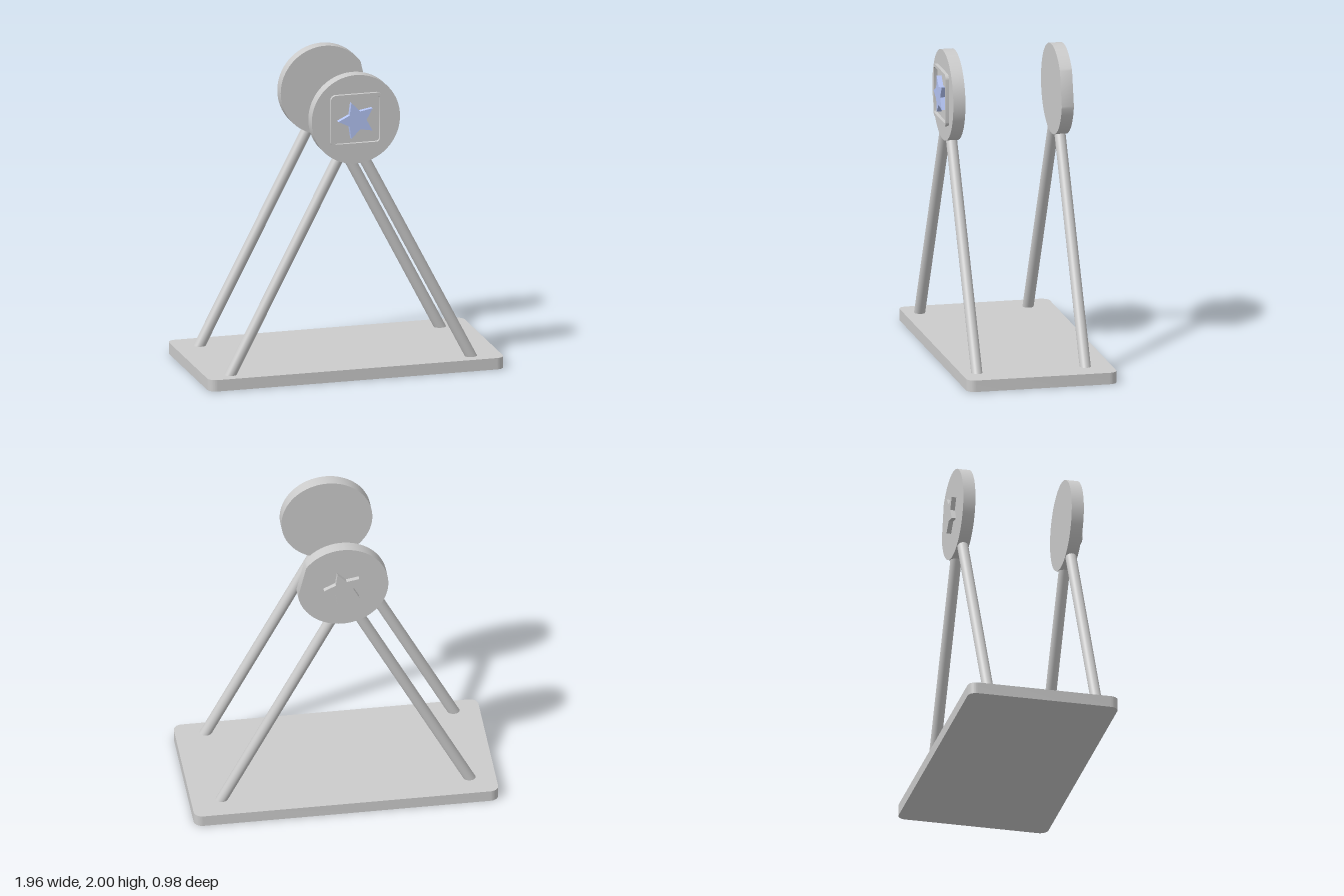
import * as THREE from 'three';
import { toCreasedNormals } from 'three/addons/utils/BufferGeometryUtils.js';

const grey = new THREE.MeshStandardMaterial({ color: 0xcccccc });
const blue = new THREE.MeshStandardMaterial({ color: 0xb4c4f4 });
const CX = 0.008, CY = 1.708, R = 0.292; // disc centre and radius

function roundedRect(w, h, r, Type = THREE.Shape) {
  const x = w / 2, y = h / 2, s = new Type();
  s.absarc(x - r, y - r, r, 0, Math.PI / 2);
  s.absarc(-x + r, y - r, r, Math.PI / 2, Math.PI);
  s.absarc(-x + r, -y + r, r, Math.PI, Math.PI * 1.5);
  s.absarc(x - r, -y + r, r, Math.PI * 1.5, Math.PI * 2);
  s.closePath();
  return s;
}

// Five-pointed star, first point at the given angle
function star(outer, inner, start) {
  const points = [];
  for (let i = 0; i < 10; i++) {
    const a = start + (i * Math.PI) / 5, r = i % 2 ? inner : outer;
    points.push(new THREE.Vector2(r * Math.cos(a), r * Math.sin(a)));
  }
  return new THREE.Shape(points);
}

function extrude(shape, depth, curveSegments = 8) {
  const g = new THREE.ExtrudeGeometry(shape, { depth, bevelEnabled: false, curveSegments });
  return toCreasedNormals(g, 0.5);
}

function add(group, name, geometry, x, y, z, material = grey) {
  const mesh = new THREE.Mesh(geometry, material);
  mesh.name = name;
  mesh.position.set(x, y, z);
  group.add(mesh);
  return mesh;
}

// Straight round rod between two points
function addRod(group, name, from, to, radius) {
  const dir = to.clone().sub(from);
  const mid = from.clone().add(to).multiplyScalar(0.5);
  const rod = add(group, name, new THREE.CylinderGeometry(radius, radius, dir.length(), 32), mid.x, mid.y, mid.z);
  rod.quaternion.setFromUnitVectors(new THREE.Vector3(0, 1, 0), dir.normalize());
}

export function createModel() {
  const model = new THREE.Group();
  model.name = 'twoFrameStand';

  // Base plate with rounded corners
  const base = extrude(roundedRect(1.956, 0.98, 0.055), 0.075);
  base.rotateX(-Math.PI / 2);
  add(model, 'base', base, 0, 0, 0);

  // Two slanted legs per frame, sunk into the base and the disc
  for (const [side, z] of [['front', 0.387], ['back', -0.321]]) {
    for (const [hand, s] of [['Left', 1], ['Right', -1]]) {
      addRod(model, side + hand + 'Leg',
        new THREE.Vector3(-0.015 + s * 0.816, 0.035, z),
        new THREE.Vector3(-0.015 + s * 0.06, 1.492, z), 0.0355);
    }
  }

  // Front disc
  const round = new THREE.Shape();
  round.absarc(0, 0, R, 0, Math.PI * 2);
  add(model, 'frontDisc', extrude(round, 0.079, 48), CX, CY, 0.348);

  // Back disc, its rim slightly flattened on the left side
  const flattened = new THREE.Shape();
  flattened.absarc(0, 0, R, 0.63, Math.PI * 2 - 0.17);
  flattened.closePath();
  add(model, 'backDisc', extrude(flattened, 0.079, 48), CX, CY, -0.361);

  // Square raised frame and coloured star on the front disc
  const border = roundedRect(0.342, 0.342, 0.035);
  border.holes.push(roundedRect(0.304, 0.304, 0.02, THREE.Path));
  add(model, 'squareFrame', extrude(border, 0.026), CX, CY, 0.423);
  add(model, 'frontStar', extrude(star(0.125, 0.062, Math.PI), 0.036), CX, CY, 0.423, blue);

  // Plain star on the back disc
  add(model, 'backStar', extrude(star(0.125, 0.062, 0), 0.034), CX, CY, -0.391);

  return model;
}
